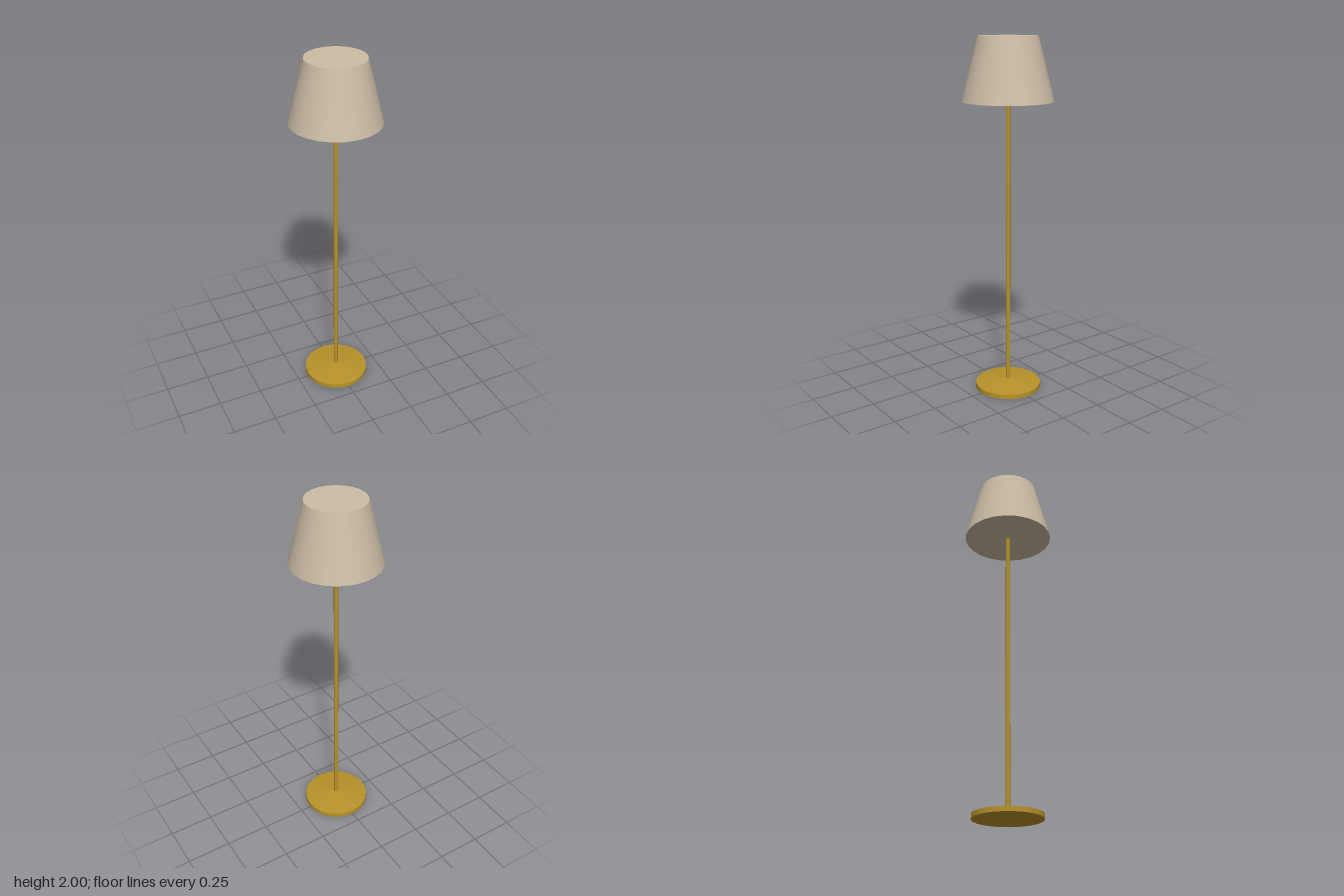
import * as THREE from 'three';

const SIDES = 24;

export function createModel() {
  const group = new THREE.Group();
  const brass = new THREE.MeshStandardMaterial({ color: 0xb8922a });
  const fabric = new THREE.MeshStandardMaterial({ color: 0xcdbda5 });

  // Adds an upright tapered cylinder between two heights
  function addRound(name, material, rTop, rBottom, y0, y1, sides = SIDES, open = false) {
    const geometry = new THREE.CylinderGeometry(rTop, rBottom, y1 - y0, sides, 1, open);
    const mesh = new THREE.Mesh(geometry, material);
    mesh.name = name;
    mesh.position.y = (y0 + y1) / 2;
    group.add(mesh);
  }

  // Round foot: flat disc with a shallow cone rising to the pole
  addRound('baseDisc', brass, 0.188, 0.188, 0, 0.026);
  addRound('baseCone', brass, 0.012, 0.188, 0.026, 0.046, SIDES, true);

  // Slim pole up to the shade
  addRound('pole', brass, 0.0125, 0.0125, 0.03, 1.66, 12);

  // Closed, tapered shade
  addRound('shade', fabric, 0.163, 0.25, 1.656, 2);

  return group;
}
